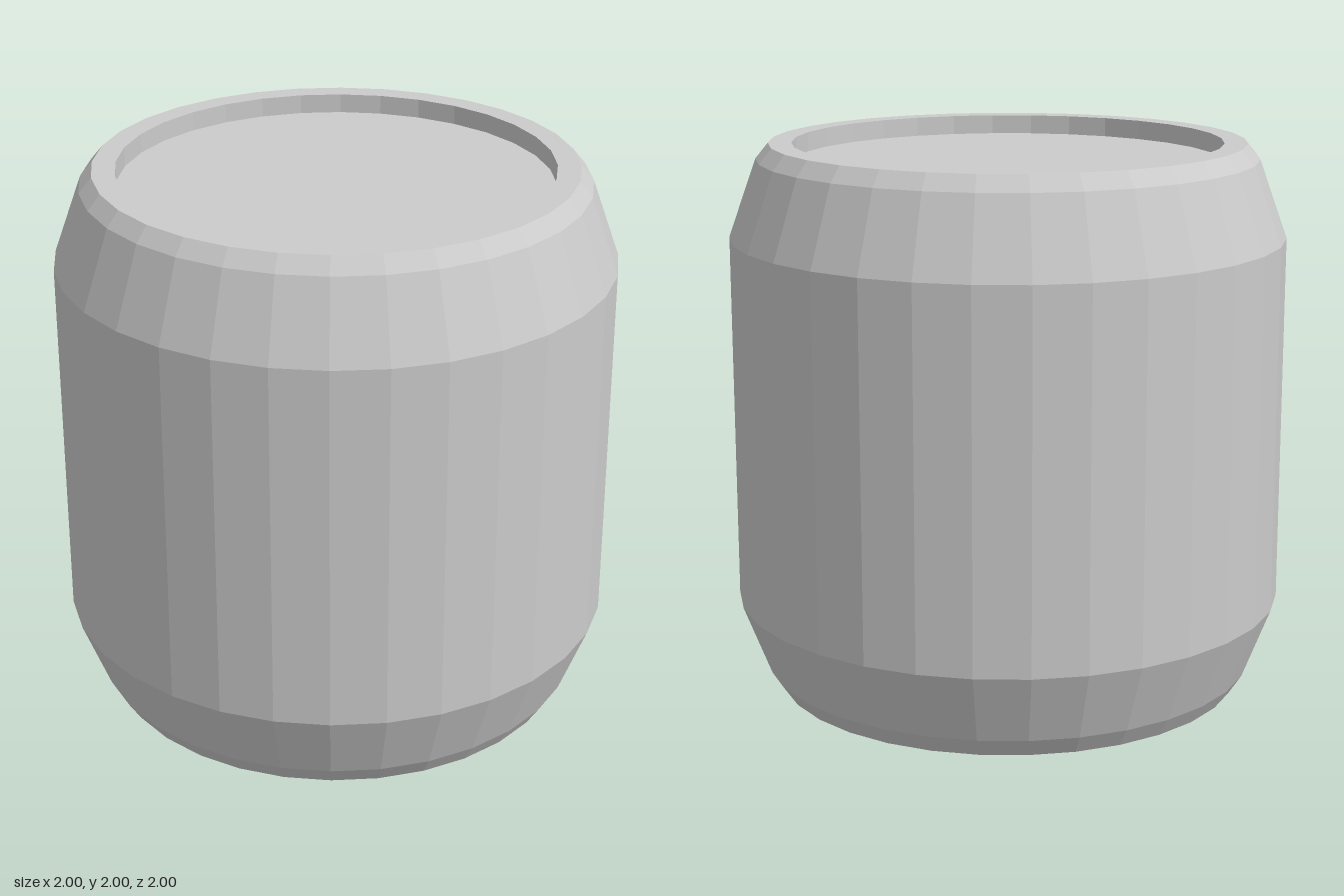
import * as THREE from 'three';

const SIDES = 32;

// Faceted solid of revolution from [radius, height] pairs, listed bottom to top
function turned(name, profile, material) {
  const points = profile.map(([r, y]) => new THREE.Vector2(r, y));
  const mesh = new THREE.Mesh(new THREE.LatheGeometry(points, SIDES), material);
  mesh.name = name;
  return mesh;
}

function disc(name, radius, y, facing, material) {
  const geometry = new THREE.CircleGeometry(radius, SIDES);
  geometry.rotateX(-facing * Math.PI / 2).translate(0, y, 0);
  const mesh = new THREE.Mesh(geometry, material);
  mesh.name = name;
  return mesh;
}

export function createModel() {
  const group = new THREE.Group();
  group.name = 'can';
  const grey = new THREE.MeshStandardMaterial({ color: 0xcccccc, flatShading: true });

  // Straight wall with tapered shoulders and small chamfers at both ends
  group.add(turned('body', [
    [0.855, 0], [0.9, 0.07], [1, 0.33], [1, 1.665], [0.9, 1.945], [0.855, 2],
  ], grey));

  // Flat rim and the short wall dropping to the recessed lid
  group.add(turned('rim', [[0.855, 2], [0.772, 2], [0.772, 1.93]], grey));

  group.add(disc('lid', 0.772, 1.93, 1, grey));
  group.add(disc('base', 0.855, 0, -1, grey));
  return group;
}
